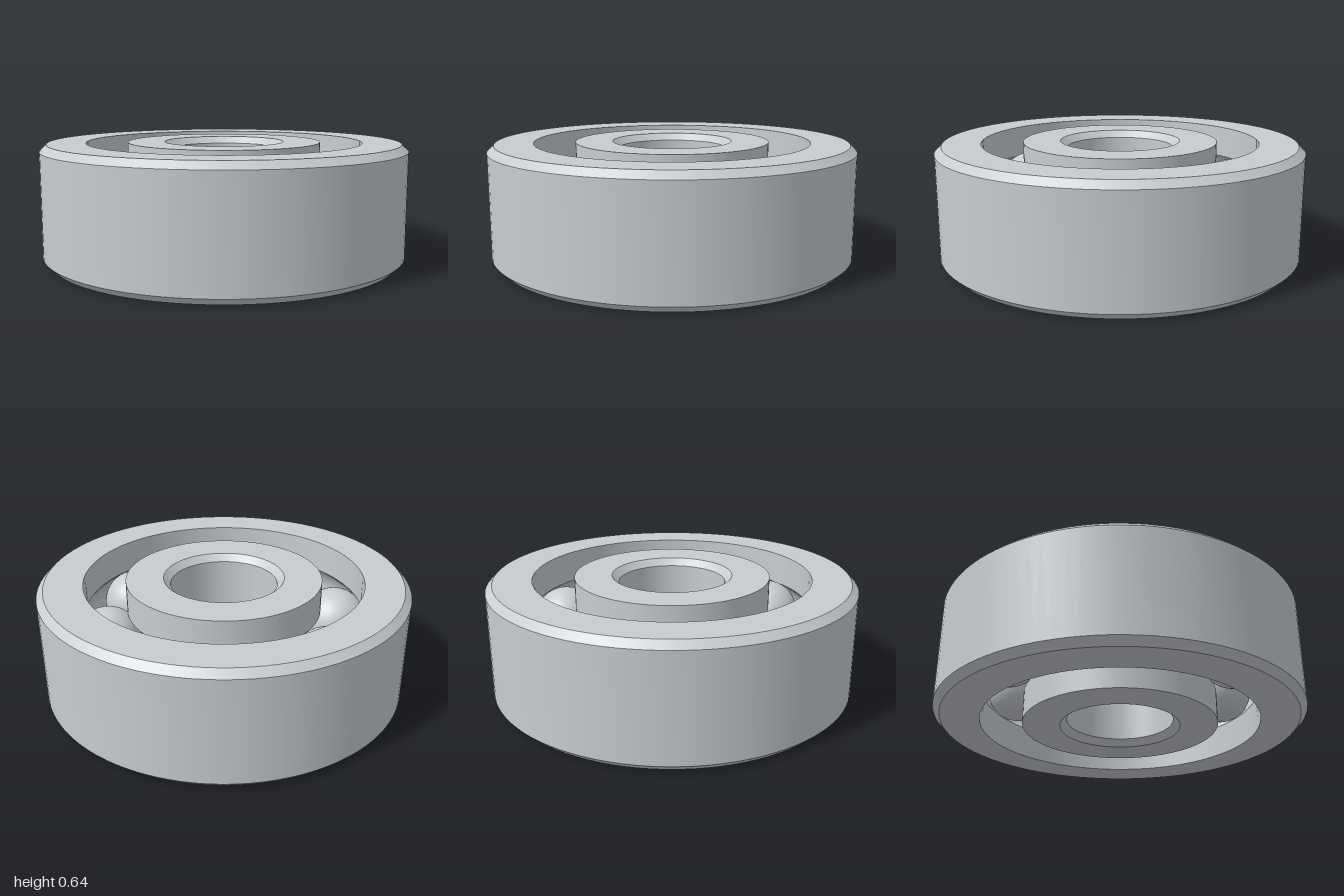
import * as THREE from 'three';
import { toCreasedNormals } from 'three/addons/utils/BufferGeometryUtils.js';

const HEIGHT = 0.64, MID = HEIGHT / 2;
const PITCH = 0.6425, BALL_R = 0.18, GROOVE_R = 0.183, BALLS = 8;
const OUTER_R = 1, OUTER_BORE = 0.755, INNER_R = 0.53, BORE_R = 0.29;
const CHAMFER = 0.037;

export function createModel() {
  const group = new THREE.Group();
  group.name = 'ballBearing';
  const steel = new THREE.MeshStandardMaterial({ color: 0xc8ccd1 });
  steel.name = 'steel';

  // Circular raceway section between two angles about the ball centre
  const groove = (from, to, steps = 16) => Array.from({ length: steps + 1 }, (_, i) => {
    const a = from + (to - from) * i / steps;
    return [PITCH + GROOVE_R * Math.cos(a), MID + GROOVE_R * Math.sin(a)];
  });

  // Closed counter-clockwise section spun around the axle
  const ring = (name, profile) => {
    const points = [...profile, profile[0]].map(([r, y]) => new THREE.Vector2(r, y));
    const geometry = toCreasedNormals(new THREE.LatheGeometry(points, 96), 0.45);
    const mesh = new THREE.Mesh(geometry, steel);
    mesh.name = name;
    group.add(mesh);
  };

  // Outer ring: chamfered rim, raceway on its inner wall
  const outerHalf = Math.acos((OUTER_BORE - PITCH) / GROOVE_R);
  ring('outerRing', [
    [OUTER_BORE, 0], [OUTER_R - CHAMFER, 0], [OUTER_R, CHAMFER],
    [OUTER_R, HEIGHT - CHAMFER], [OUTER_R - CHAMFER, HEIGHT], [OUTER_BORE, HEIGHT],
    ...groove(outerHalf, -outerHalf),
  ]);

  // Inner ring: chamfered bore, raceway on its outer wall
  const innerHalf = Math.acos((PITCH - INNER_R) / GROOVE_R);
  ring('innerRing', [
    [BORE_R + CHAMFER, 0], [INNER_R, 0],
    ...groove(Math.PI + innerHalf, Math.PI - innerHalf),
    [INNER_R, HEIGHT], [BORE_R + CHAMFER, HEIGHT],
    [BORE_R, HEIGHT - CHAMFER], [BORE_R, CHAMFER],
  ]);

  // Balls spaced evenly in the raceway
  const ballGeometry = new THREE.SphereGeometry(BALL_R, 40, 28);
  for (let i = 0; i < BALLS; i++) {
    const a = i / BALLS * Math.PI * 2;
    const ball = new THREE.Mesh(ballGeometry, steel);
    ball.name = `ball${i + 1}`;
    ball.position.set(PITCH * Math.cos(a), MID, PITCH * Math.sin(a));
    group.add(ball);
  }
  return group;
}
